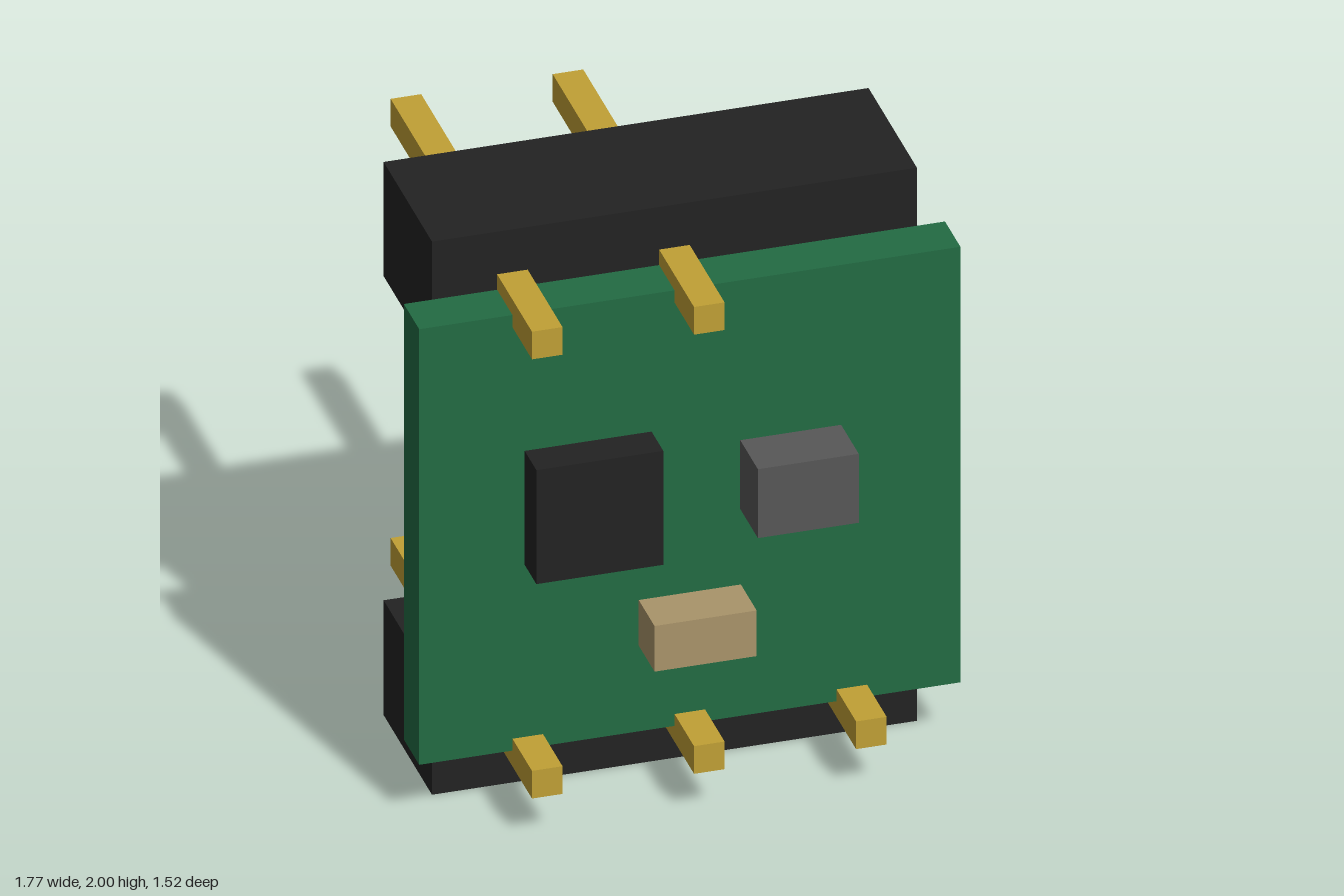
import * as THREE from 'three';

const paint = (name, color) => {
  const m = new THREE.MeshStandardMaterial({ color });
  m.name = name;
  return m;
};

export function createModel() {
  const green = paint('board green', 0x226b43);
  const black = paint('plastic black', 0x222222);
  const gold = paint('pin gold', 0xc0a035);
  const grey = paint('component grey', 0x575757);
  const tan = paint('component tan', 0xa9946a);

  const model = new THREE.Group();
  model.name = 'circuitModule';

  // Box given by its extents along each axis
  const block = (name, material, [x0, x1], [y0, y1], [z0, z1], parent = model) => {
    const mesh = new THREE.Mesh(new THREE.BoxGeometry(x1 - x0, y1 - y0, z1 - z0), material);
    mesh.position.set((x0 + x1) / 2, (y0 + y1) / 2, (z0 + z1) / 2);
    mesh.name = name;
    parent.add(mesh);
  };

  // Circuit board
  const back = 0.385, face = 0.55;
  block('board', green, [-0.885, 0.885], [0.215, 1.79], [back, face]);

  // Components on the front face
  block('chip', black, [-0.54, -0.125], [0.88, 1.292], [face, 0.676]);
  block('regulator', grey, [0.165, 0.495], [0.963, 1.212], [face, 0.74]);
  block('capacitor', tan, [-0.167, 0.167], [0.525, 0.69], [face, 0.72]);

  // Pin headers: a plastic bar with square pins running through it
  const pitch = 0.53, half = 0.05;
  const header = (name, [y0, y1], pinY, columns) => {
    const group = new THREE.Group();
    group.name = name;
    block('headerBar', black, [-0.793, 0.793], [y0, y1], [-0.135, back], group);
    for (const c of columns) {
      block('pin', gold, [c * pitch - half, c * pitch + half],
        [pinY - half, pinY + half], [-0.76, 0.76], group);
    }
    model.add(group);
  };
  header('lowerHeader', [0, 0.415], 0.208, [-1, 0, 1]);
  header('upperHeader', [1.587, 2], 1.796, [-1, 0]);

  return model;
}
